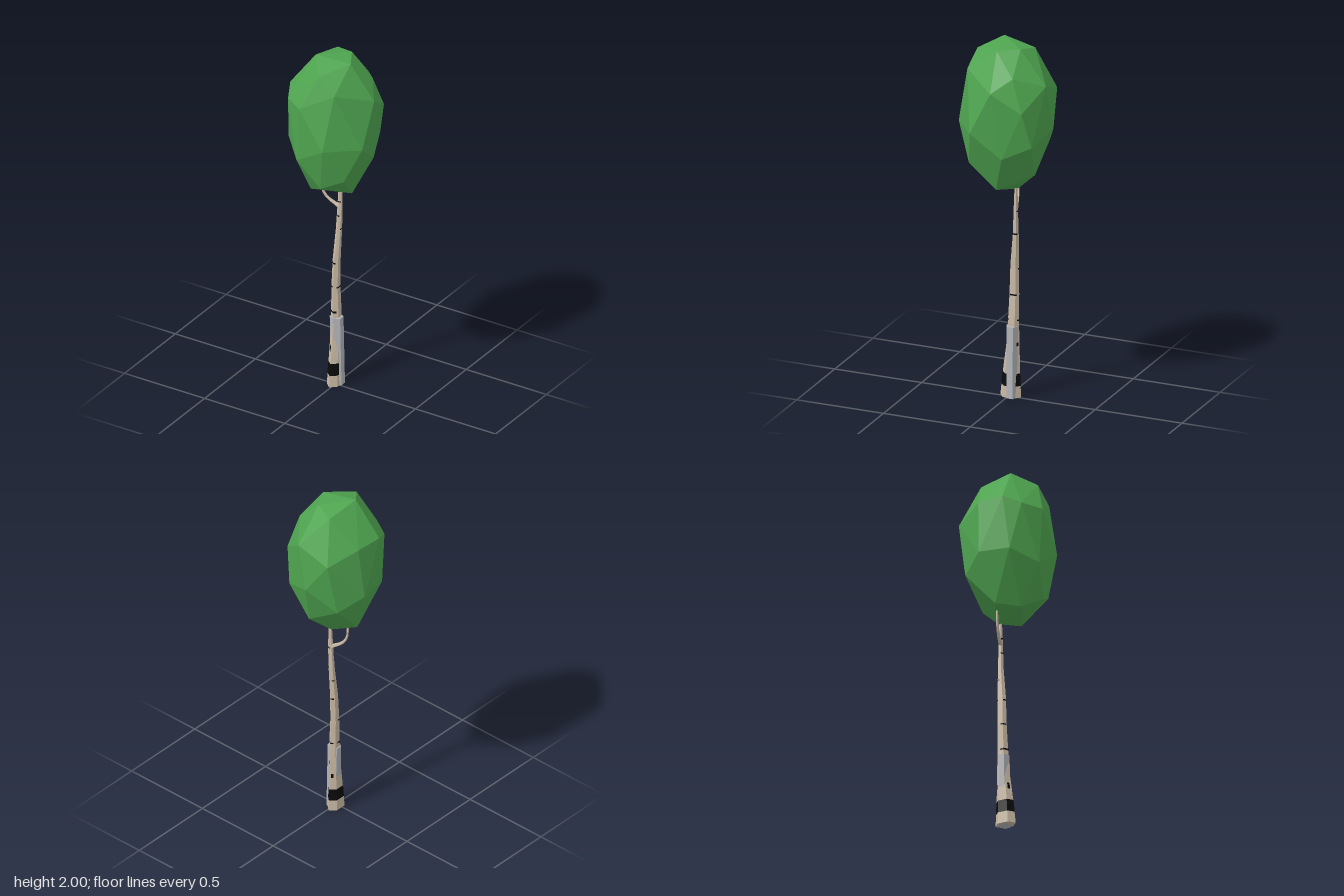
import * as THREE from 'three';
import { ConvexGeometry } from 'three/addons/geometries/ConvexGeometry.js';

const SIDES = 6;

// trunk sections: height, centre x, centre z, half width x, half depth z
const TRUNK = [
  [0, -0.008, -0.010, 0.035, 0.060],
  [0.14, -0.008, -0.014, 0.030, 0.049],
  [0.28, -0.009, -0.022, 0.026, 0.039],
  [0.42, -0.010, -0.025, 0.024, 0.032],
  [0.58, -0.015, -0.028, 0.020, 0.028],
  [0.74, -0.012, -0.031, 0.018, 0.025],
  [0.92, -0.004, -0.041, 0.015, 0.017],
  [1.05, 0.001, -0.043, 0.013, 0.013],
  [1.18, 0.002, -0.045, 0.009, 0.009],
  [1.45, 0.002, -0.045, 0.004, 0.004],
];

// guard post sections around the lower trunk
const POST = [
  [0, 0.002, -0.021, 0.035, 0.034],
  [0.4, -0.006, -0.021, 0.034, 0.034],
];

// interpolated trunk section at a height
function sectionAt(y) {
  let i = 0;
  while (i < TRUNK.length - 2 && TRUNK[i + 1][0] < y) i++;
  const a = TRUNK[i], b = TRUNK[i + 1], t = (y - a[0]) / (b[0] - a[0]);
  return a.map((v, k) => v + (b[k] - v) * t);
}

// faceted skin over sections, from side s0 to s1 (fractions allowed), optionally capped
function loft(rows, { s0 = 0, s1 = SIDES, grow = 0, caps = false } = {}) {
  const out = [];
  const corner = (row, s) => {
    const [y, cx, cz, rx, rz] = row;
    const k = Math.floor(s), f = s - k;
    const at = (n) => {
      const a = ((n + 0.5) / SIDES) * Math.PI * 2;
      return new THREE.Vector3(cx + Math.cos(a) * (rx + grow) * 1.1, y, cz + Math.sin(a) * (rz + grow));
    };
    return at(k).lerp(at(k + 1), f);
  };
  const tri = (...pts) => pts.forEach((p) => out.push(p.x, p.y, p.z));
  const stops = [s0];
  for (let s = Math.floor(s0) + 1; s < s1; s++) stops.push(s);
  stops.push(s1);
  for (let j = 0; j < stops.length - 1; j++) {
    const [p, q] = [stops[j], stops[j + 1]];
    for (let i = 0; i < rows.length - 1; i++) {
      const a = corner(rows[i], p), b = corner(rows[i], q);
      const c = corner(rows[i + 1], p), d = corner(rows[i + 1], q);
      tri(a, c, b);
      tri(b, c, d);
    }
    if (caps) {
      const lo = rows[0], hi = rows[rows.length - 1];
      tri(new THREE.Vector3(lo[1], lo[0], lo[2]), corner(lo, p), corner(lo, q));
      tri(new THREE.Vector3(hi[1], hi[0], hi[2]), corner(hi, q), corner(hi, p));
    }
  }
  const geo = new THREE.BufferGeometry();
  geo.setAttribute('position', new THREE.Float32BufferAttribute(out, 3));
  geo.computeVertexNormals();
  return geo;
}

// crown corners: x, y, z
const CROWN = [
  // top
  [-0.085, 2.0, 0.06], [0.108, 1.98, 0.02], [0.046, 1.985, -0.09], [-0.065, 1.965, -0.126],
  [0.01, 1.945, 0.173], [0.11, 1.86, 0.188], [0.17, 1.86, -0.098],
  // upper ring
  [-0.228, 1.805, 0.085], [-0.215, 1.8, -0.066], [-0.185, 1.763, 0.175], [-0.073, 1.758, 0.243],
  [0.242, 1.785, 0], [0.053, 1.8, -0.24], [-0.135, 1.73, -0.222], [0.2, 1.68, -0.162],
  // middle ring
  [0.242, 1.545, 0.118], [0.077, 1.545, 0.252], [-0.01, 1.545, -0.255], [-0.244, 1.5, -0.048],
  [-0.217, 1.5, 0.12], [-0.095, 1.44, 0.234], [0.153, 1.48, -0.2], [0.206, 1.41, -0.05],
  // lower ring and base
  [-0.16, 1.42, -0.17], [0.153, 1.345, 0.16], [0.03, 1.285, 0.196], [0.04, 1.285, -0.17],
  [-0.08, 1.215, 0.116], [-0.148, 1.23, 0.0], [0.116, 1.2, 0.02], [-0.01, 1.175, -0.05],
];

// tapering tube along a curve
function taperedTube(points, r0, r1) {
  const n = 8, sides = 5;
  const curve = new THREE.CatmullRomCurve3(points.map((p) => new THREE.Vector3(...p)));
  const geo = new THREE.TubeGeometry(curve, n, 1, sides);
  const pos = geo.attributes.position, v = new THREE.Vector3();
  for (let i = 0; i < pos.count; i++) {
    const t = Math.floor(i / (sides + 1)) / n, c = curve.getPointAt(t);
    v.fromBufferAttribute(pos, i).sub(c).multiplyScalar(r0 + (r1 - r0) * Math.sqrt(t)).add(c);
    pos.setXYZ(i, v.x, v.y, v.z);
  }
  const flat = geo.toNonIndexed();
  flat.computeVertexNormals();
  return flat;
}

export function createModel() {
  const make = (name, color) => {
    const m = new THREE.MeshStandardMaterial({ color });
    m.name = name;
    return m;
  };
  const leaf = make('leaf green', 0x4fa550);
  const bark = make('pale bark', 0xcbbba6);
  const mark = make('black bark', 0x0a0a0a);
  const grey = make('grey', 0xb4b6ba);

  const group = new THREE.Group();
  group.name = 'tree';
  const add = (name, geo, mat, parent = group) => {
    const mesh = new THREE.Mesh(geo, mat);
    mesh.name = name;
    parent.add(mesh);
  };

  add('crown', new ConvexGeometry(CROWN.map((p) => new THREE.Vector3(...p))), leaf);
  add('trunk', loft(TRUNK, { caps: true }), bark);
  add('guardPost', loft(POST, { caps: true }), grey);
  add('branch', taperedTube([
    [0, 1.055, -0.042], [-0.03, 1.075, -0.035], [-0.065, 1.1, -0.025],
    [-0.09, 1.145, -0.017], [-0.096, 1.25, -0.015],
  ], 0.013, 0.005), bark);

  // dark marks on the bark: bottom, top, first side, last side
  const marks = new THREE.Group();
  marks.name = 'barkMarks';
  group.add(marks);
  [
    [0.065, 0.135, 0, 6],
    [0.2, 0.235, 1.3, 1.7], [0.21, 0.235, 3.4, 3.8], [0.29, 0.31, 4.2, 4.6],
    [0.428, 0.438, 0.4, 2.6], [0.43, 0.438, 3.4, 4.5],
    [0.575, 0.583, 1.2, 2.4], [0.573, 0.581, 4.6, 6.3],
    [0.718, 0.726, 0.6, 1.8], [0.72, 0.728, 3.2, 4.4],
    [0.92, 0.928, 4.5, 6.2], [0.84, 0.846, 2.6, 3.6],
    [1.0, 1.007, 0.6, 2.2], [1.085, 1.093, 0.2, 1.8], [1.05, 1.057, 3.6, 4.8],
  ].forEach(([y0, y1, s0, s1]) => {
    add('barkMark', loft([sectionAt(y0), sectionAt(y1)], { s0, s1, grow: 0.0012 }), mark, marks);
  });

  return group;
}
